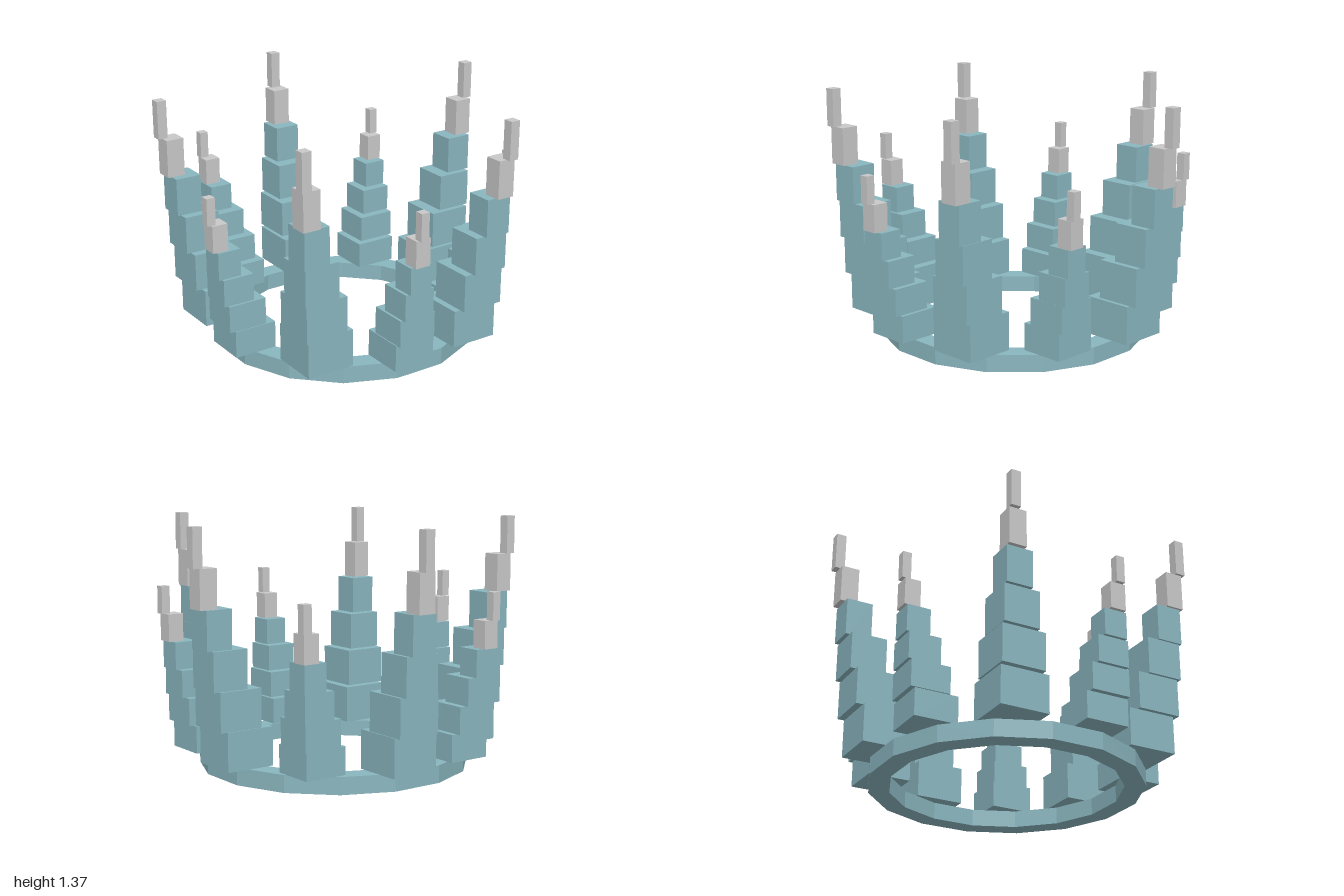
import * as THREE from 'three';

const teal = new THREE.MeshStandardMaterial({ color: 0x8ab6bf, flatShading: true });
teal.name = 'dustyTeal';
const silver = new THREE.MeshStandardMaterial({ color: 0xc9c9c9, flatShading: true });
silver.name = 'paleGrey';

const BASE_Y = 0.105;
const BASE_RADIUS = 0.725;
// Half diagonal of each stacked block, bottom to top
const HALF_DIAGONALS = [0.194, 0.175, 0.143, 0.105, 0.071, 0.039];

// A stack of shrinking blocks leaning outward; every block keeps the same 45 degree turn
function createSpike(angle, blockHeight, lean, scale) {
  const spike = new THREE.Group();
  HALF_DIAGONALS.forEach((half, i) => {
    const side = half * scale * Math.SQRT2;
    const isTip = i >= 4;
    const block = new THREE.Mesh(
      new THREE.BoxGeometry(side, blockHeight, side),
      isTip ? silver : teal
    );
    const radius = BASE_RADIUS + lean * i;
    block.position.set(
      Math.sin(angle) * radius,
      BASE_Y + blockHeight * (i + 0.5),
      Math.cos(angle) * radius
    );
    block.rotation.y = Math.PI / 4;
    block.name = isTip ? 'spikeTipBlock' : 'spikeBlock';
    spike.add(block);
  });
  return spike;
}

export function createModel() {
  const crown = new THREE.Group();
  crown.name = 'crown';

  // Sixteen-sided base band with a rectangular section
  const section = [
    [0.635, 0], [0.75, 0], [0.75, 0.095], [0.635, 0.095], [0.635, 0],
  ].map(([r, y]) => new THREE.Vector2(r, y));
  const band = new THREE.Mesh(
    new THREE.LatheGeometry(section, 16, Math.PI / 16),
    teal
  );
  band.name = 'baseBand';
  crown.add(band);

  // Ten spikes, tall and short in turn, starting with a tall one in front
  for (let i = 0; i < 10; i++) {
    const tall = i % 2 === 0;
    const angle = (i * Math.PI) / 5;
    const spike = tall
      ? createSpike(angle, 0.21, 0.0525, 1)
      : createSpike(angle, 0.15, 0.042, 0.885);
    spike.name = tall ? 'tallSpike' : 'shortSpike';
    crown.add(spike);
  }

  crown.position.z = -0.03;
  const model = new THREE.Group();
  model.name = 'steppedCrown';
  model.add(crown);
  return model;
}
